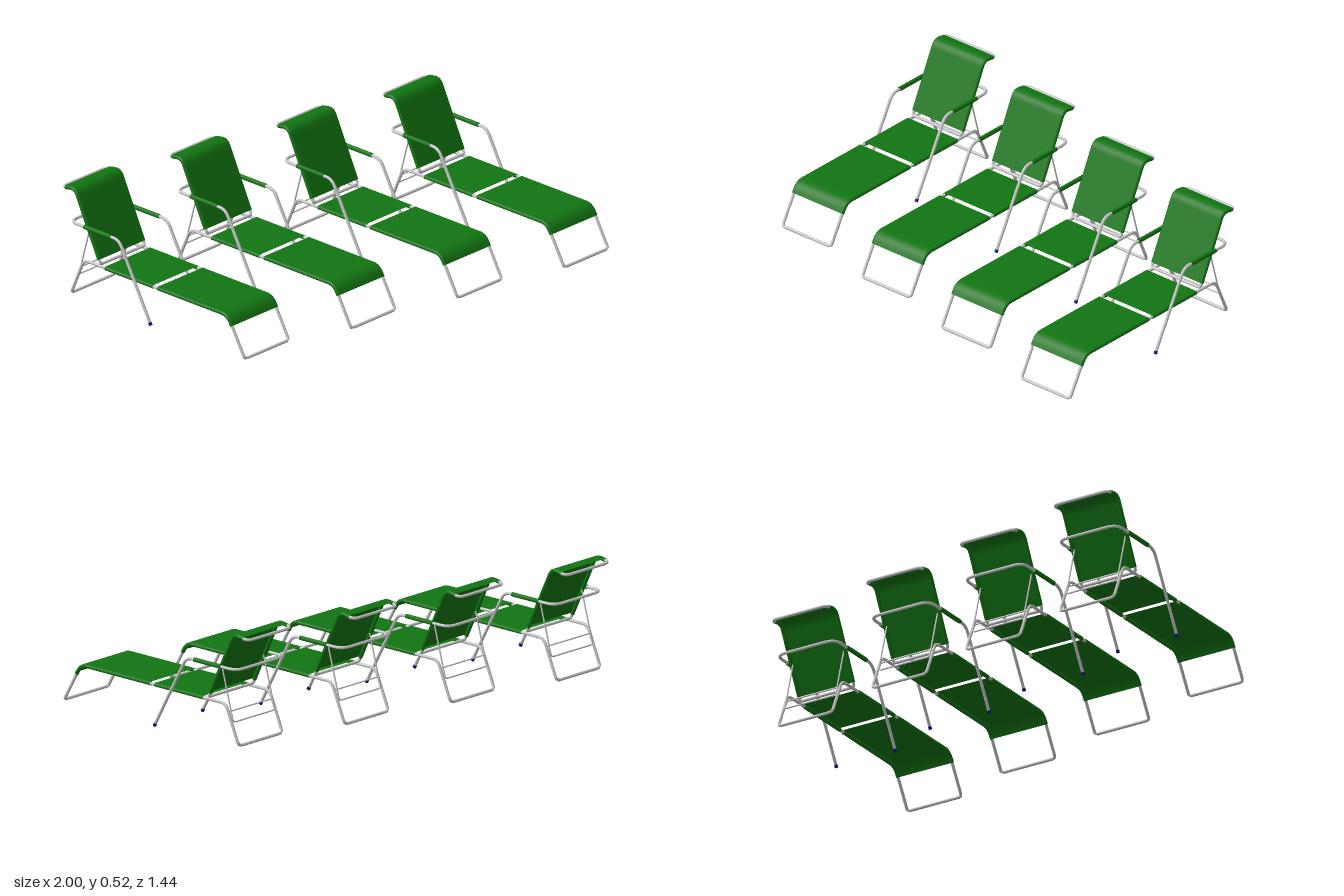
import * as THREE from 'three';

const metal = new THREE.MeshStandardMaterial({ color: 0xcccccc });
const green = new THREE.MeshStandardMaterial({ color: 0x127512, side: THREE.DoubleSide });
const blue = new THREE.MeshStandardMaterial({ color: 0x10108a });

const RAIL_X = 0.14, ARM_X = 0.153, R = 0.007, SLEEVE_R = 0.009;
const V = (x, y, z) => new THREE.Vector3(x, y, z);

// Polyline whose corners are rounded; each point is [x, y, z, cornerRadius]
function roundedPath(pts, closed = false) {
  const path = new THREE.CurvePath();
  const n = pts.length;
  const at = i => V(...pts[(i + n) % n].slice(0, 3));
  const corner = i => {
    const p = at(i), r = pts[(i + n) % n][3] || 0;
    if (!r || (!closed && (i === 0 || i === n - 1))) return { a: p, p, b: p };
    const toward = q => p.clone().add(q.sub(p).setLength(r));
    return { a: toward(at(i - 1)), p, b: toward(at(i + 1)) };
  };
  const c = pts.map((_, i) => corner(i));
  for (let i = 0; i < n; i++) {
    if (c[i].a !== c[i].b) path.add(new THREE.QuadraticBezierCurve3(c[i].a, c[i].p, c[i].b));
    if (closed || i < n - 1) path.add(new THREE.LineCurve3(c[i].b, c[(i + 1) % n].a));
  }
  return path;
}

function mesh(name, geometry, material) {
  const m = new THREE.Mesh(geometry, material);
  m.name = name;
  return m;
}

const tube = (name, path, radius, segments, closed = false, material = metal) =>
  mesh(name, new THREE.TubeGeometry(path, segments, radius, 8, closed), material);

// Mirrors a side profile of [y, z, radius] into a loop across the width
const acrossWidth = (profile, x) => [
  ...profile.map(([y, z, r]) => [x, y, z, r]),
  ...profile.slice().reverse().map(([y, z, r]) => [-x, y, z, r]),
];

// Stretched cloth along a side profile, with a sleeve round each side rail
function fabric(name, profile) {
  const group = new THREE.Group();
  group.name = name;
  const path = roundedPath(profile.map(([y, z, r]) => [0, y, z, r]));
  const sheet = new THREE.PlaneGeometry(2 * RAIL_X, 1, 1, 40);
  const pos = sheet.attributes.position;
  for (let i = 0; i < pos.count; i++) {
    const u = THREE.MathUtils.clamp(pos.getY(i) + 0.5, 0, 1);
    const p = path.getPointAt(u), t = path.getTangentAt(u);
    pos.setXYZ(i, pos.getX(i), p.y - t.z * SLEEVE_R, p.z + t.y * SLEEVE_R);
  }
  sheet.computeVertexNormals();
  group.add(mesh(name + 'Sheet', sheet, green));
  for (const s of [-1, 1]) {
    const side = roundedPath(profile.map(([y, z, r]) => [s * RAIL_X, y, z, r]));
    group.add(tube(name + 'Sleeve', side, SLEEVE_R, 40, false, green));
  }
  return group;
}

function createLounger() {
  const chair = new THREE.Group();

  // Base frame: one bent loop forming front legs, side rails and rear legs
  const base = [[R, 0.714, 0.012], [0.185, 0.613, 0.035], [0.185, -0.25, 0.03], [R, -0.327, 0.02]];
  chair.add(tube('baseFrame', roundedPath(acrossWidth(base, RAIL_X), true), R, 240, true));

  // Backrest frame with curled head end
  const back = [[0.196, -0.15, 0.012], [0.51, -0.301, 0.03], [0.496, -0.381, 0.03]];
  chair.add(tube('backrestFrame', roundedPath(acrossWidth(back, RAIL_X), true), R, 180, true));

  // Cloth panels
  chair.add(fabric('legPanel', [[0.14, 0.6385], [0.185, 0.613, 0.035], [0.185, 0.195]]));
  chair.add(fabric('seatPanel', [[0.185, 0.17], [0.185, -0.12]]));
  chair.add(fabric('backPanel', [[0.215, -0.159], [0.51, -0.301, 0.03], [0.5, -0.358]]));

  // Armrest: front legs rising into arms that join behind the backrest
  const arm = [[0.01, 0.16], [0.352, -0.028, 0.035], [0.352, -0.325, 0.05]];
  chair.add(tube('armrestFrame', roundedPath(acrossWidth(arm, ARM_X)), R, 200));

  for (const s of [-1, 1]) {
    const pad = new THREE.CylinderGeometry(0.01, 0.01, 0.16, 10).rotateX(Math.PI / 2);
    const padMesh = mesh('armPad', pad, green);
    padMesh.position.set(s * ARM_X, 0.352, -0.155);

    const cap = mesh('footCap', new THREE.CylinderGeometry(0.008, 0.008, 0.014, 10), blue);
    cap.position.set(s * ARM_X, 0.009, 0.16);
    cap.rotation.x = -0.5;
    chair.add(padMesh, cap);
  }

  // Thin prop that holds the backrest, and a second rung between the rear legs
  const prop = [[0.342, -0.222], [0.105, -0.288, 0.012]];
  chair.add(tube('backrestProp', roundedPath(acrossWidth(prop, 0.132)), 0.0035, 80));
  const rung = new THREE.CylinderGeometry(0.0035, 0.0035, 2 * RAIL_X, 8).rotateZ(Math.PI / 2);
  const rungMesh = mesh('rearRung', rung, metal);
  rungMesh.position.set(0, 0.15, -0.266);
  chair.add(rungMesh);

  return chair;
}

export function createModel() {
  const model = new THREE.Group();
  model.name = 'loungerRow';
  const lounger = createLounger();
  // Four loungers in a staggered row
  for (let i = 0; i < 4; i++) {
    const copy = lounger.clone();
    copy.name = 'lounger' + (i + 1);
    copy.position.set(-0.837 + 0.558 * i, 0, -0.333 + 0.111 * i);
    model.add(copy);
  }
  return model;
}
